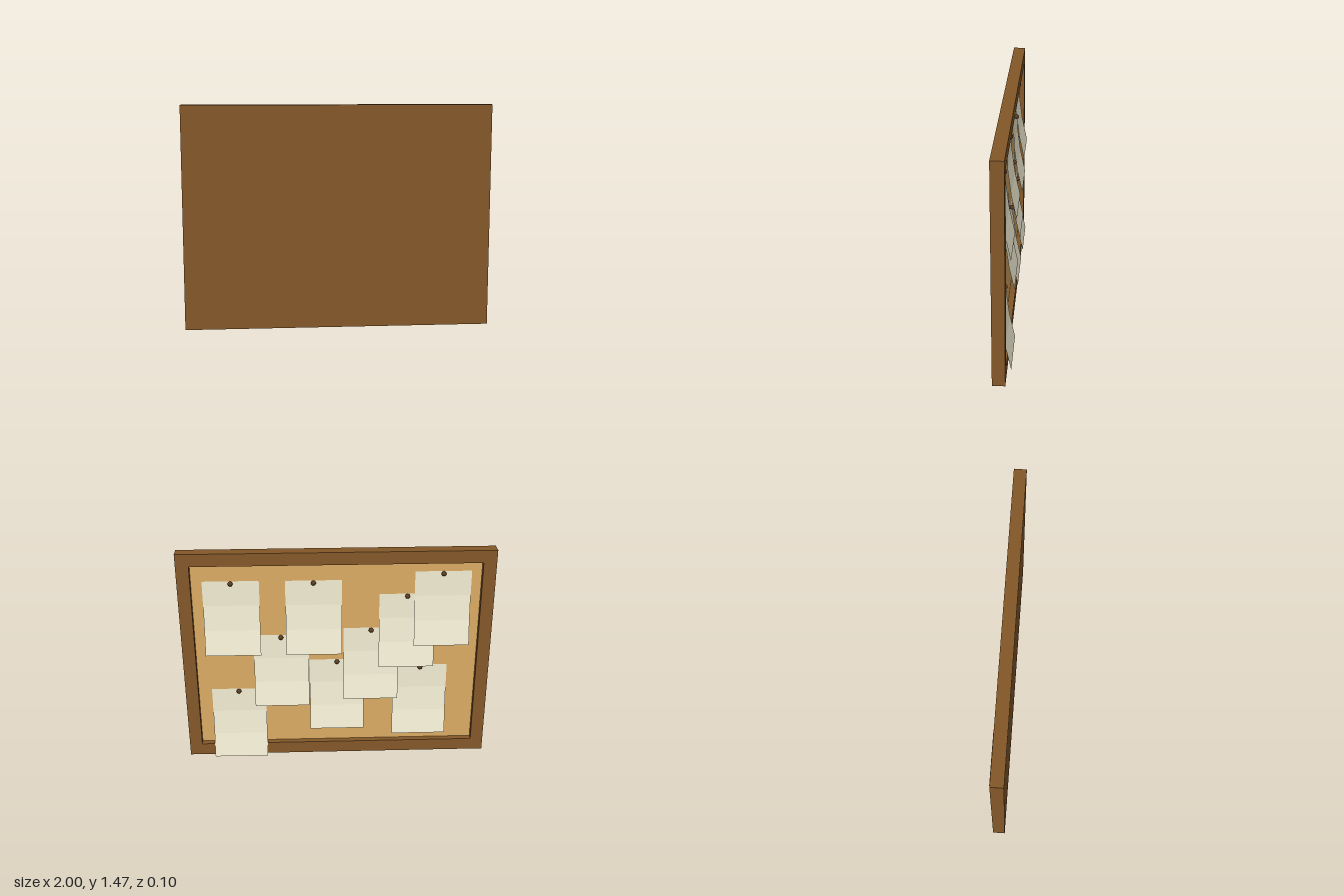
import * as THREE from 'three';

const WIDTH = 2, BOTTOM = 0.005, TOP = 1.465, BORDER = 0.083;
const FRONT = 0.052, CORK = 0.012, RIM = -0.028;
const SHEET_W = 0.358, SHEET_H = 0.494, SHEET_Z = 0.01, FLARE = 0.062;

const mat = (color, opts = {}) => new THREE.MeshStandardMaterial({ color, ...opts });

function add(group, name, geometry, material, x = 0, y = 0, z = 0) {
  const mesh = new THREE.Mesh(geometry, material);
  mesh.name = name;
  mesh.position.set(x, y, z);
  group.add(mesh);
  return mesh;
}

// Rectangle outline, used for the rim and its opening
function rectangle(Type, inset) {
  const x = WIDTH / 2 - inset, y0 = BOTTOM + inset, y1 = TOP - inset;
  return new Type([[-x, y0], [x, y0], [x, y1], [-x, y1]].map(p => new THREE.Vector2(...p)));
}

// Sheet hanging from its top edge, curling away from the board in three bands
function sheetGeometry() {
  const g = new THREE.PlaneGeometry(SHEET_W, SHEET_H, 1, 3);
  g.rotateY(Math.PI);
  g.translate(0, -SHEET_H / 2, 0);
  const p = g.attributes.position;
  for (let i = 0; i < p.count; i++) {
    const t = -p.getY(i) / SHEET_H;
    p.setZ(i, -FLARE * t * t);
  }
  g.computeVertexNormals();
  return g;
}

export function createModel() {
  const model = new THREE.Group();
  model.name = 'noticeBoard';
  const wood = mat(0x845828);
  const cork = mat(0xdcac64);
  const paper = mat(0xf0ead0, { side: THREE.DoubleSide, flatShading: true });
  const pinMaterial = mat(0x5a3c1e);
  const midY = (TOP + BOTTOM) / 2, height = TOP - BOTTOM;

  // Solid wooden panel
  const depth = FRONT - CORK;
  add(model, 'panel', new THREE.BoxGeometry(WIDTH, height, depth), wood, 0, midY, CORK + depth / 2);

  // Raised rim around the pinning face
  const outline = rectangle(THREE.Shape, 0);
  outline.holes.push(rectangle(THREE.Path, BORDER));
  add(model, 'frame', new THREE.ExtrudeGeometry(outline, { depth: CORK - RIM, bevelEnabled: false }), wood, 0, 0, RIM);

  // Cork surface
  const corkFace = new THREE.PlaneGeometry(WIDTH - 2 * BORDER, height - 2 * BORDER).rotateY(Math.PI);
  add(model, 'corkSurface', corkFace, cork, 0, midY, CORK - 0.001);

  // Pinned sheets: centre x and top edge y
  const sheet = sheetGeometry();
  const pin = new THREE.SphereGeometry(0.016, 12, 8);
  const places = [
    [0.669, 1.267], [0.147, 1.265], [-0.675, 1.316],
    [-0.451, 1.165], [-0.222, 0.929], [-0.001, 0.703],
    [0.362, 0.887], [0.651, 0.494], [-0.55, 0.653],
  ];
  for (const [x, y] of places) {
    const note = new THREE.Group();
    note.name = 'pinnedSheet';
    note.position.set(x, y, SHEET_Z);
    add(note, 'sheet', sheet, paper);
    add(note, 'pin', pin, pinMaterial, 0, -0.013, -0.012);
    model.add(note);
  }
  return model;
}
